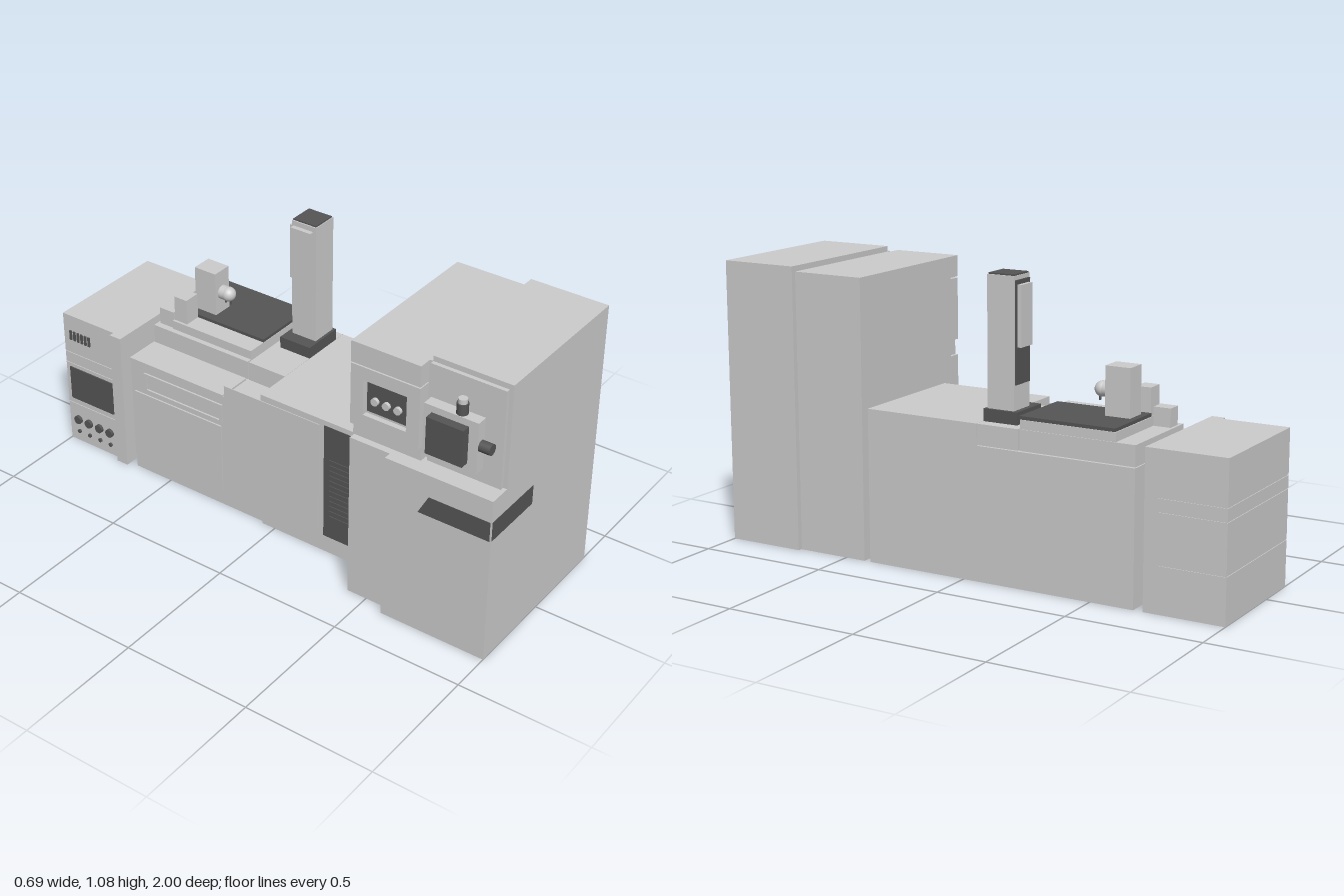
import * as THREE from 'three';

const grey = new THREE.MeshStandardMaterial({ color: 0xcccccc });
const dark = new THREE.MeshStandardMaterial({ color: 0x555555 });

export function createModel() {
  const root = new THREE.Group();
  let group = root;

  const begin = (name) => {
    group = new THREE.Group();
    group.name = name;
    root.add(group);
  };
  const add = (name, geometry, material, x, y, z) => {
    const mesh = new THREE.Mesh(geometry, material);
    mesh.name = name;
    mesh.position.set(x, y, z);
    group.add(mesh);
    return mesh;
  };
  // Box from its limits on each axis
  const box = (name, x0, x1, y0, y1, z0, z1, material = grey) =>
    add(name, new THREE.BoxGeometry(x1 - x0, y1 - y0, z1 - z0), material,
      (x0 + x1) / 2, (y0 + y1) / 2, (z0 + z1) / 2);
  // Cylinder along a chosen axis
  const rod = (name, axis, r, length, x, y, z, material = grey) => {
    const g = new THREE.CylinderGeometry(r, r, length, 24);
    if (axis === 'x') g.rotateZ(Math.PI / 2);
    if (axis === 'z') g.rotateX(Math.PI / 2);
    return add(name, g, material, x, y, z);
  };
  // Raised rectangular frame on a side facing -x
  const frame = (name, x, depth, y0, y1, z0, z1, w) => {
    const s = new THREE.Shape();
    s.moveTo(z0, y0).lineTo(z1, y0).lineTo(z1, y1).lineTo(z0, y1).closePath();
    const h = new THREE.Path();
    h.moveTo(z0 + w, y0 + w).lineTo(z0 + w, y1 - w).lineTo(z1 - w, y1 - w).lineTo(z1 - w, y0 + w).closePath();
    s.holes.push(h);
    const g = new THREE.ExtrudeGeometry(s, { depth, bevelEnabled: false });
    g.rotateY(-Math.PI / 2);
    return add(name, g, grey, x + depth, 0, 0);
  };

  // Tall cabinet at the front, with a deeper lower half
  begin('frontCabinet');
  box('cabinetBody', -0.26, 0.345, 0, 1.05, 0.703, 1);
  box('lowerHousing', -0.345, -0.26, 0, 0.655, 0.585, 1);
  box('frontSlot', -0.34, -0.085, 0.495, 0.57, 0.99, 1.001, dark);
  const slot = new THREE.Shape();
  slot.moveTo(0.72, 0.495).lineTo(0.995, 0.495).lineTo(0.995, 0.57).lineTo(0.76, 0.57).closePath();
  const slotGeometry = new THREE.ExtrudeGeometry(slot, { depth: 0.005, bevelEnabled: false });
  slotGeometry.rotateY(-Math.PI / 2);
  add('sideSlot', slotGeometry, dark, -0.342, 0, 0);

  // Control box on the cabinet side
  begin('controlBox');
  box('mountPlate', -0.275, -0.26, 0.655, 1.03, 0.703, 0.985);
  box('controlHousing', -0.317, -0.275, 0.71, 0.905, 0.71, 0.915);
  box('controlCover', -0.35, -0.317, 0.74, 0.88, 0.74, 0.88, dark);
  rod('turnKnob', 'z', 0.02, 0.045, -0.295, 0.81, 0.935, dark);
  rod('lampBase', 'y', 0.02, 0.04, -0.295, 0.925, 0.84, dark);
  rod('lampCap', 'y', 0.016, 0.017, -0.295, 0.953, 0.84);

  // Second tall cabinet, with an instrument panel above its door
  begin('rearCabinet');
  box('cabinetBody', -0.26, 0.33, 0, 1.03, 0.42, 0.70);
  box('lowerDoor', -0.31, -0.26, 0, 0.65, 0.42, 0.69);
  box('panelHeader', -0.31, -0.26, 0.95, 1.03, 0.42, 0.69);
  box('instrumentPanel', -0.29, -0.26, 0.655, 0.945, 0.42, 0.69);
  frame('panelFrame', -0.31, 0.02, 0.71, 0.945, 0.42, 0.69, 0.05);
  box('panelWindow', -0.293, -0.28, 0.77, 0.89, 0.475, 0.635, dark);
  for (let i = 0; i < 3; i++) rod('panelKnob', 'x', 0.014, 0.015, -0.298, 0.82, 0.51 + i * 0.045);

  // Long bench with a stepped rear deck
  begin('bench');
  box('benchFront', -0.175, 0.33, 0, 0.565, -0.057, 0.395);
  box('benchRear', -0.17, 0.33, 0.06, 0.487, -0.665, -0.057);
  box('rearPlinth', -0.165, 0.33, 0, 0.06, -0.665, -0.057);
  box('deckBlock', -0.03, 0.33, 0.49, 0.565, -0.22, -0.058);
  box('rearDeck', -0.03, 0.328, 0.49, 0.565, -0.665, -0.225);
  box('rearDeckSide', -0.175, -0.035, 0.487, 0.495, -0.665, -0.23);
  box('sideDoor', -0.176, -0.17, 0.07, 0.355, -0.65, -0.24);
  frame('slotFrame', -0.177, 0.007, 0.37, 0.45, -0.6, -0.235, 0.012);
  box('sideDoorFront', -0.178, -0.175, 0.07, 0.54, -0.22, 0.2);
  box('ventPanel', -0.177, -0.175, 0.07, 0.545, 0.22, 0.393, dark);
  for (let i = 0; i < 12; i++) box('ventSlat', -0.181, -0.177, 0.16 + i * 0.022, 0.168 + i * 0.022, 0.245, 0.37, dark);

  // Stage and probe on the rear deck
  begin('stage');
  box('stageBase', 0.065, 0.325, 0.565, 0.598, -0.59, -0.225);
  box('stagePlate', 0.065, 0.33, 0.6, 0.612, -0.59, -0.225, dark);
  box('stageRail', -0.01, 0.065, 0.565, 0.6, -0.59, -0.225);
  box('driveBox', 0, 0.065, 0.6, 0.70, -0.587, -0.53);
  box('driveFoot', -0.005, 0.05, 0.565, 0.632, -0.655, -0.59);
  box('probeColumn', 0.1, 0.18, 0.612, 0.785, -0.567, -0.472);
  rod('probeNeck', 'z', 0.027, 0.03, 0.14, 0.695, -0.458);
  add('probeHead', new THREE.SphereGeometry(0.028, 24, 16), grey, 0.14, 0.695, -0.442);
  for (const z of [-0.455, -0.432]) rod('probePin', 'y', 0.004, 0.03, 0.14, 0.67, z, dark);

  // Upright display column
  begin('displayColumn');
  box('columnBase', 0.12, 0.285, 0.565, 0.61, -0.19, -0.057, dark);
  box('columnBody', 0.17, 0.275, 0.61, 1.075, -0.172, -0.067);
  box('columnCap', 0.175, 0.27, 1.075, 1.08, -0.17, -0.07, dark);
  box('columnRecess', 0.177, 0.268, 0.7, 1.06, -0.178, -0.172, dark);
  box('displayPanel', 0.186, 0.26, 0.83, 1.045, -0.193, -0.178);
  box('columnSideRail', 0.152, 0.17, 1.05, 1.056, -0.165, -0.08);

  // Stacked electronics cabinet at the back
  begin('backCabinet');
  box('frontLip', -0.185, 0.33, 0, 0.565, -0.75, -0.70);
  for (const [y0, y1] of [[0, 0.168], [0.171, 0.35], [0.353, 0.398], [0.401, 0.565]]) {
    box('cabinetUnit', -0.165, 0.33, y0, y1, -1, -0.75);
  }
  box('cabinetCore', -0.162, 0.327, 0.01, 0.55, -0.997, -0.75);
  box('displayWindow', -0.17, -0.165, 0.195, 0.335, -0.98, -0.77, dark);
  for (let i = 0; i < 4; i++) {
    rod('dial', 'x', 0.017, 0.014, -0.17, 0.1, -0.955 + i * 0.053, dark);
    rod('socket', 'x', 0.008, 0.008, -0.168, 0.045, -0.955 + i * 0.053, dark);
  }
  for (let i = 0; i < 6; i++) box('grilleBar', -0.17, -0.165, 0.46, 0.5, -0.97 + i * 0.018, -0.96 + i * 0.018, dark);

  return root;
}
